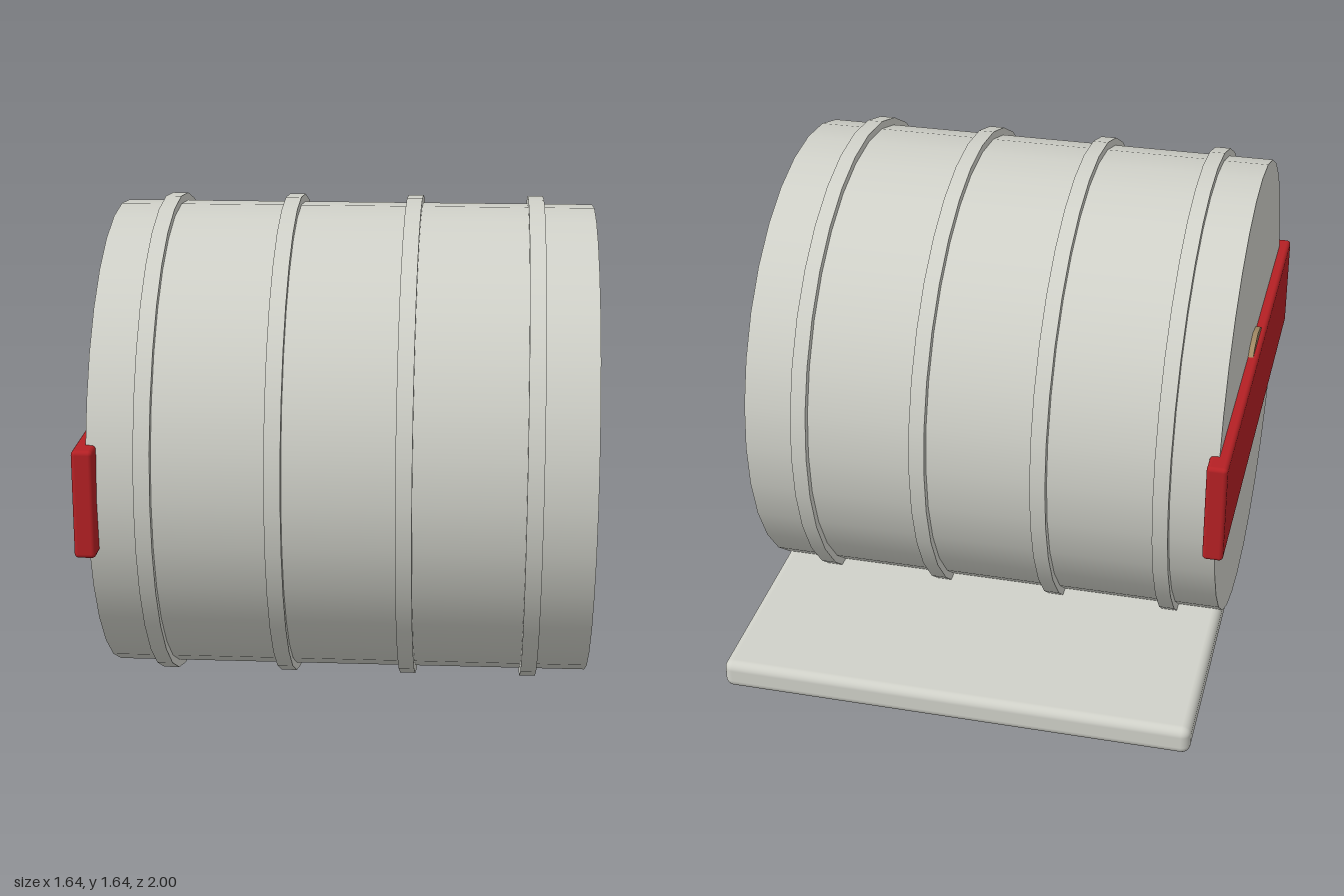
import * as THREE from 'three';
import { RoundedBoxGeometry } from 'three/addons/geometries/RoundedBoxGeometry.js';

const CENTER_Y = 0.825, CENTER_Z = 0.155;

function makeMaterial(name, color) {
  const m = new THREE.MeshStandardMaterial({ color });
  m.name = name;
  return m;
}

export function createModel() {
  const group = new THREE.Group();
  group.name = 'barrelOnPlate';
  const grey = makeMaterial('light grey', 0xd0d1c9);
  const red = makeMaterial('red', 0xb52024);
  const brown = makeMaterial('brown', 0xa08863);

  const add = (name, geometry, material, x, y, z) => {
    const mesh = new THREE.Mesh(geometry, material);
    mesh.name = name;
    mesh.position.set(x, y, z);
    group.add(mesh);
  };

  // Cylinder lying along x on the barrel axis, from x0 to x1
  const disc = (name, radius, x0, x1, sides, material) => {
    const geometry = new THREE.CylinderGeometry(radius, radius, x1 - x0, sides);
    geometry.rotateZ(Math.PI / 2);
    add(name, geometry, material, (x0 + x1) / 2, CENTER_Y, CENTER_Z);
  };

  // Rounded box given by its low and high corners
  const slab = (name, lo, hi, radius, material) => {
    const size = hi.map((v, i) => v - lo[i]);
    const mid = hi.map((v, i) => (v + lo[i]) / 2);
    add(name, new RoundedBoxGeometry(...size, 3, radius), material, ...mid);
  };

  // Barrel body and its four raised hoops
  disc('barrel', 0.796, -0.788, 0.802, 32, grey);
  for (const x of [-0.611, -0.205, 0.202, 0.608]) {
    disc('hoop', 0.822, x - 0.026, x + 0.026, 32, grey);
  }

  // Round end caps
  disc('rightCap', 0.211, -0.806, -0.78, 16, brown);
  disc('leftCap', 0.211, 0.79, 0.82, 16, brown);

  // Bar across the right end
  slab('bar', [-0.824, 0.65, -0.695], [-0.756, 1.0, 1.0], 0.014, red);

  // Plate running out behind, its inner edge buried in the barrel
  slab('plate', [-0.787, 0.088, -1.0], [0.801, 0.188, 0.1], 0.03, grey);

  return group;
}
